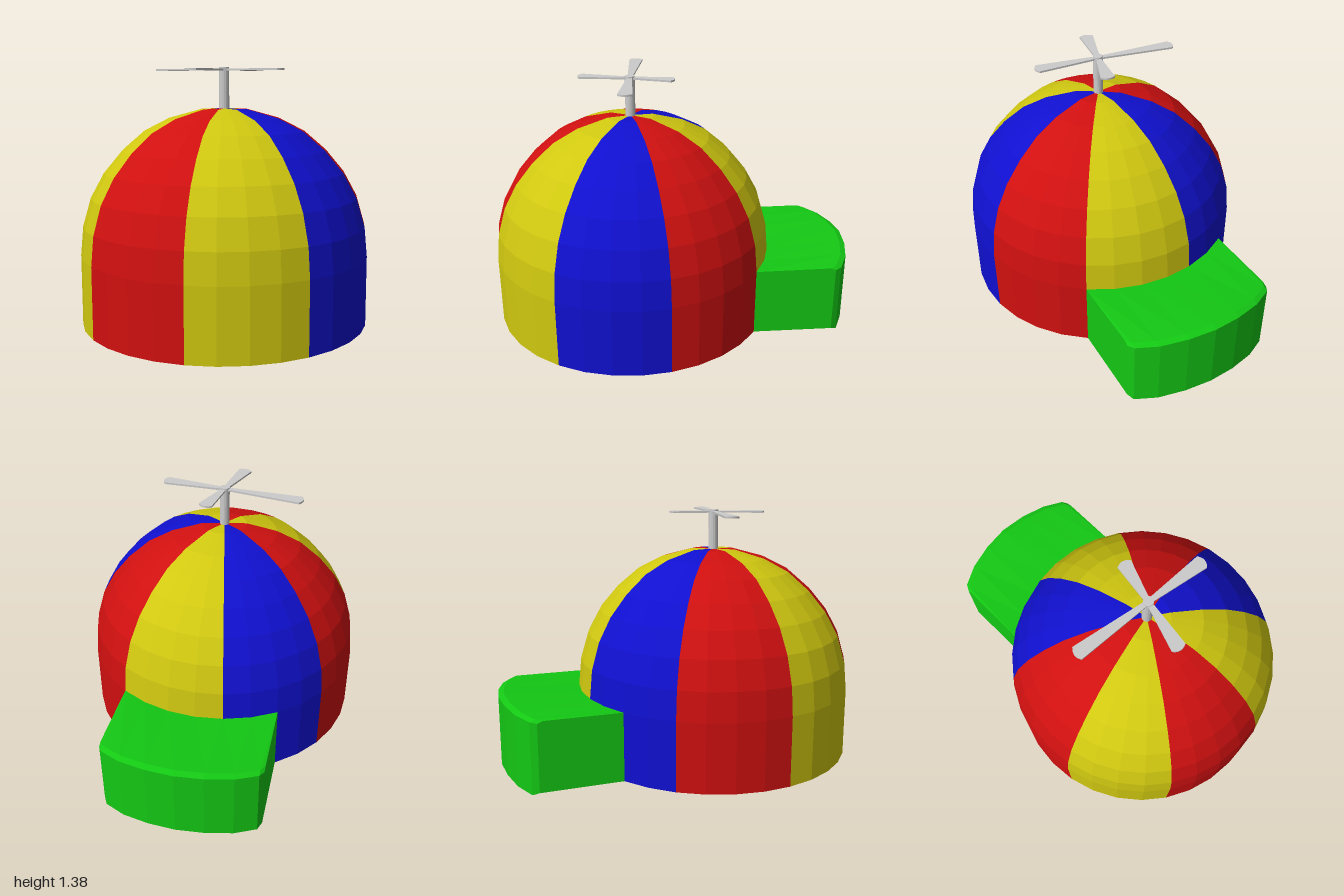
import * as THREE from 'three';

const RED = 0xd01010, YELLOW = 0xd0c810, BLUE = 0x1010d0, GREEN = 0x14c814, GREY = 0xcccccc;
const CZ = 0.225;                 // dome axis
const STEP = Math.PI / 16;        // 32 facets around
// dome profile: [radius, height] from rim to crown
const PROFILE = [[0.77, 0.02], [0.77, 0.395], [0.755, 0.55], [0.711, 0.7], [0.64, 0.83],
  [0.544, 0.945], [0.428, 1.045], [0.295, 1.113], [0.125, 1.16], [0, 1.163]];

function mesh(name, geometry, color) {
  const material = new THREE.MeshStandardMaterial({ color, flatShading: true, side: THREE.DoubleSide });
  const m = new THREE.Mesh(geometry, material);
  m.name = name;
  return m;
}

// geometry from a list of quads, corners counter-clockwise from outside
function quadGeometry(quads) {
  const pos = [];
  for (const [a, b, c, d] of quads) pos.push(...a, ...b, ...c, ...a, ...c, ...d);
  const g = new THREE.BufferGeometry();
  g.setAttribute('position', new THREE.Float32BufferAttribute(pos, 3));
  g.computeVertexNormals();
  return g;
}

// point on the dome; facet index k runs from +x towards the back
function domePoint(k, row) {
  const a = k * STEP, [r, y] = PROFILE[row];
  return [r * Math.cos(a), y, CZ - r * Math.sin(a)];
}

// one coloured gore of four facets; the wall is left open inside the brim
function domePanel(first) {
  const quads = [];
  for (let k = first; k < first + 4; k++) {
    for (let row = 0; row < PROFILE.length - 1; row++) {
      if (row === 0 && k >= 5 && k < 11) continue;
      quads.push([domePoint(k, row), domePoint(k + 1, row), domePoint(k + 1, row + 1), domePoint(k, row + 1)]);
    }
  }
  return quadGeometry(quads);
}

// hollow brim: top, thin bevelled lip, curved end wall and side walls
function brimGeometry() {
  // half outline of the end: x, z, top height, bottom height
  const half = [[0.428, -0.855, 0.395, 0.015], [0.408, -0.89, 0.4, 0], [0.295, -0.948, 0.408, 0.008],
    [0.15, -0.985, 0.416, 0.017], [0, -1, 0.42, 0.022]];
  const end = [...half, ...half.slice(0, -1).reverse().map(([x, ...rest]) => [-x, ...rest])];
  const domeIndex = [5, 5, 6, 7, 8, 9, 10, 11, 11];
  const st = end.map(([x, z, top, bottom], i) => ({
    root: domePoint(domeIndex[i], 1),
    rootLow: domePoint(domeIndex[i], 0),
    ridge: [x, top, z + 0.03],
    edge: [x, top - 0.012, z],
    low: [x, bottom, z],
  }));
  const quads = [];
  for (let i = 0; i < st.length - 1; i++) {
    const a = st[i], b = st[i + 1];
    quads.push([a.root, a.ridge, b.ridge, b.root]);
    quads.push([a.ridge, a.edge, b.edge, b.ridge]);
    quads.push([a.edge, a.low, b.low, b.edge]);
  }
  const l = st[0], r = st[st.length - 1];
  quads.push([l.rootLow, l.low, l.edge, l.root], [l.root, l.edge, l.ridge, l.root]);
  quads.push([r.low, r.rootLow, r.root, r.edge], [r.root, r.ridge, r.edge, r.root]);
  return quadGeometry(quads);
}

// flat blade widening to a softly rounded tip, lying along +x
function bladeGeometry(length) {
  const s = new THREE.Shape();
  s.moveTo(0, -0.012);
  s.lineTo(length - 0.02, -0.038);
  s.quadraticCurveTo(length + 0.012, 0, length - 0.02, 0.038);
  s.lineTo(0, 0.012);
  s.closePath();
  const g = new THREE.ExtrudeGeometry(s, { depth: 0.01, bevelEnabled: false, curveSegments: 6 });
  return g.rotateX(-Math.PI / 2);
}

export function createModel() {
  const model = new THREE.Group();
  model.name = 'propellerCap';

  // dome gores, starting beside the brim and going round
  const dome = new THREE.Group();
  dome.name = 'dome';
  [RED, YELLOW, BLUE, RED, YELLOW, RED, YELLOW, BLUE].forEach((color, i) => {
    dome.add(mesh('domePanel' + (i + 1), domePanel(1 + i * 4), color));
  });
  model.add(dome);

  model.add(mesh('brim', brimGeometry(), GREEN));

  // propeller on its shaft
  const propeller = new THREE.Group();
  propeller.name = 'propeller';
  propeller.position.z = CZ;
  const shaft = mesh('shaft', new THREE.CylinderGeometry(0.027, 0.027, 0.25, 16), GREY);
  shaft.position.y = 1.255;
  propeller.add(shaft);
  // tip offset from the shaft: x, z
  [[0.355, 0.043], [0.065, -0.24], [-0.44, -0.06], [-0.07, 0.28]].forEach(([x, z], i) => {
    const blade = mesh('blade' + (i + 1), bladeGeometry(Math.hypot(x, z)), GREY);
    blade.position.y = 1.363;
    blade.rotation.y = Math.atan2(-z, x);
    propeller.add(blade);
  });
  model.add(propeller);
  return model;
}
